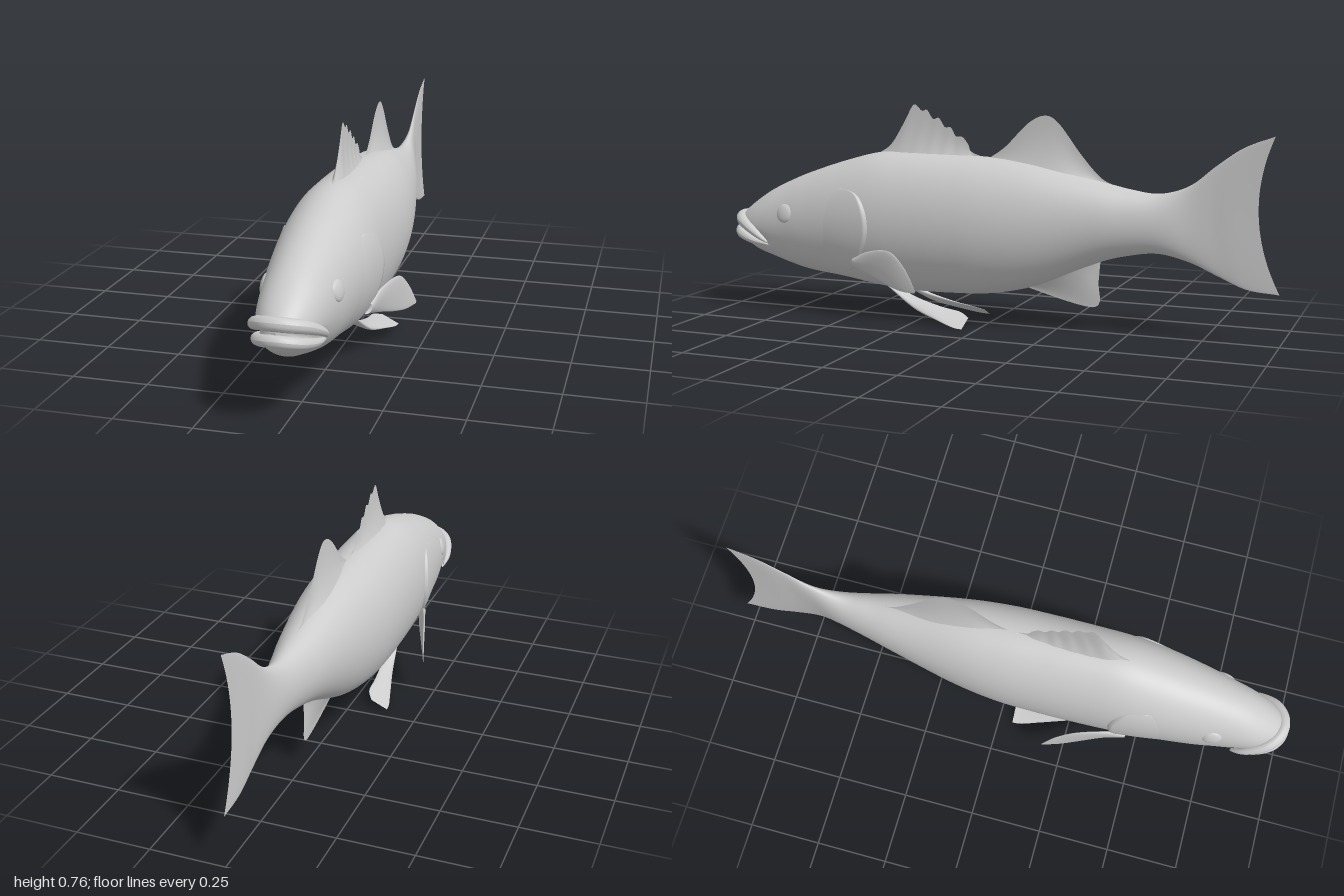
import * as THREE from 'three';

const grey = new THREE.MeshStandardMaterial({ color: 0xcccccc, roughness: 0.7, side: THREE.DoubleSide });

// Smooth surface from a function of (u, v); wrap joins the v ends without a seam
function surface(nu, nv, fn, wrap = false) {
  const pos = [], idx = [], cols = wrap ? nv : nv + 1;
  for (let i = 0; i <= nu; i++)
    for (let j = 0; j < cols; j++) pos.push(...fn(i / nu, j / nv));
  for (let i = 0; i < nu; i++)
    for (let j = 0; j < nv; j++) {
      const k = (j + 1) % cols;
      const a = i * cols + j, b = a + cols, c = (i + 1) * cols + k, d = i * cols + k;
      idx.push(a, b, c, a, c, d);
    }
  const g = new THREE.BufferGeometry();
  g.setAttribute('position', new THREE.Float32BufferAttribute(pos, 3));
  g.setIndex(idx);
  g.computeVertexNormals();
  return g;
}

const spline = (pts) => new THREE.CatmullRomCurve3(pts.map((p) => new THREE.Vector3(p[0], p[1], p[2] ?? 0)), false, 'catmullrom', 0.5);

// Body stations from snout to tail: z, top, bottom, half width
const stations = [
  [0.982, 0.312, 0.29, 0], [0.97, 0.342, 0.258, 0.042], [0.945, 0.368, 0.236, 0.066], [0.9, 0.402, 0.21, 0.088],
  [0.84, 0.44, 0.19, 0.103], [0.76, 0.478, 0.166, 0.117], [0.68, 0.51, 0.148, 0.131], [0.55, 0.553, 0.133, 0.148],
  [0.41, 0.588, 0.112, 0.157], [0.28, 0.592, 0.101, 0.16], [0.12, 0.588, 0.102, 0.161], [-0.02, 0.582, 0.112, 0.157],
  [-0.18, 0.565, 0.15, 0.138], [-0.39, 0.518, 0.24, 0.098], [-0.5, 0.494, 0.272, 0.072], [-0.6, 0.484, 0.284, 0.048],
  [-0.7, 0.514, 0.262, 0.022], [-0.79, 0.582, 0.222, 0.01], [-0.88, 0.642, 0.184, 0.006], [-0.982, 0.682, 0.174, 0],
];
const outline = spline(stations.map((s) => [s[0], s[1], s[2]]));
const girth = spline(stations.map((s) => [s[0], s[3]]));

function sectionAt(t) {
  const o = outline.getPoint(t);
  return { z: o.x, mid: (o.y + o.z) / 2, h: (o.y - o.z) / 2, w: Math.max(0, girth.getPoint(t).y) };
}

// Point on the body's left flank at (z, y), pushed outward by off
function flank(z, y, off) {
  let lo = 0, hi = 1;
  for (let i = 0; i < 30; i++) {
    const m = (lo + hi) / 2;
    if (outline.getPoint(m).x > z) lo = m; else hi = m;
  }
  const s = sectionAt(lo);
  const k = THREE.MathUtils.clamp((y - s.mid) / s.h, -0.99, 0.99);
  const x = s.w * Math.sqrt(1 - k * k);
  const n = new THREE.Vector2(x / s.w ** 2, k / s.h).normalize();
  return [x + n.x * off, s.mid + k * s.h + n.y * off, z];
}

// Body running smoothly into the forked tail
function bodyGeometry() {
  return surface(190, 72, (u, v) => {
    const s = sectionAt(u), a = v * Math.PI * 2;
    const sy = Math.sin(a), y = s.mid + s.h * sy;
    const tail = THREE.MathUtils.smoothstep(-s.z, 0.62, 0.982);
    let x = s.w * Math.cos(a);
    // mouth groove
    if (s.z > 0.8) {
      const d = (y - (0.252 + (s.z - 0.82) * 0.36)) / 0.012;
      x *= 1 - 0.15 * Math.exp(-d * d) * THREE.MathUtils.smoothstep(s.z, 0.8, 0.86);
    }
    return [x, y, s.z + tail * (0.06 * (1 - sy * sy) + 0.0135 * sy)];
  }, true);
}

// Median fin: columns from a base line inside the body to an edge curve, flared at the root
function medianFin(base, edge, thick) {
  const e = spline(edge), n = (edge.length - 1) * 6, rows = 12;
  const side = (sgn) => surface(n, rows, (u, v) => {
    const p = e.getPoint(u);
    const z = THREE.MathUtils.lerp(THREE.MathUtils.lerp(base[0][0], base[1][0], u), p.x, v);
    const y = THREE.MathUtils.lerp(THREE.MathUtils.lerp(base[0][1], base[1][1], u), p.y, v);
    const t = (thick * (1 - v) ** 2.5 + 0.004 * (1 - v)) * Math.sqrt(Math.sin(Math.PI * u) + 1e-6);
    return [sgn * t, y, z];
  });
  return [side(1), side(-1)];
}

// Paired fin: thin closed blade lofted between two long edges
function pairedFin(edgeA, edgeB, thick) {
  const a = spline(edgeA), b = spline(edgeB);
  return surface(28, 24, (u, v) => {
    const w = v * Math.PI * 2, k = (1 - Math.cos(w)) / 2;
    const p = a.getPoint(u).lerp(b.getPoint(u), k);
    const t = Math.sin(w) * thick * (1 - u);
    return [p.x + t, p.y + t * 0.6, p.z];
  }, true);
}

// Lip: tube bent round the snout, thinner toward the mouth corners
function lipGeometry(half, radius) {
  const pts = [...half, ...half.slice(0, -1).reverse().map(([x, y, z]) => [-x, y, z])];
  const c = spline(pts), seg = 64, rad = 14;
  const g = new THREE.TubeGeometry(c, seg, radius, rad), p = g.attributes.position;
  const v = new THREE.Vector3();
  for (let i = 0; i < p.count; i++) {
    const t = Math.floor(i / (rad + 1)) / seg;
    v.fromBufferAttribute(p, i).lerp(c.getPointAt(t), 1 - Math.sin(Math.PI * t) ** 0.55);
    p.setXYZ(i, v.x, v.y, v.z);
  }
  g.computeVertexNormals();
  return g;
}

// Gill cover: raised plate with a sharp rear edge that fades into the cheek
function gillGeometry() {
  const rear = spline([[0.51, 0.468], [0.44, 0.452], [0.4, 0.4], [0.388, 0.33], [0.41, 0.26], [0.46, 0.19], [0.56, 0.148]]);
  const front = spline([[0.55, 0.466], [0.6, 0.43], [0.63, 0.37], [0.64, 0.31], [0.645, 0.25], [0.65, 0.2], [0.66, 0.165]]);
  return surface(24, 48, (u, v) => {
    const p = rear.getPoint(v).lerp(front.getPoint(v), u);
    const rise = 0.011 * Math.pow(Math.sin(Math.PI * v), 0.5);
    const off = u === 0 ? -0.006 : rise * (1 - u) - 0.004 * u * u - 0.001;
    return flank(p.x, p.y, off);
  });
}

export function createModel() {
  const fish = new THREE.Group();
  fish.name = 'fish';
  const add = (name, geometry, parent = fish) => {
    const m = new THREE.Mesh(geometry, grey);
    m.name = name;
    parent.add(m);
    return m;
  };

  add('bodyAndTail', bodyGeometry());
  add('upperLip', lipGeometry([[0.104, 0.252, 0.82], [0.103, 0.285, 0.87], [0.078, 0.317, 0.93], [0.04, 0.331, 0.963], [0, 0.335, 0.973]], 0.022));
  add('lowerLip', lipGeometry([[0.098, 0.245, 0.82], [0.09, 0.258, 0.89], [0.066, 0.273, 0.945], [0.034, 0.283, 0.973], [0, 0.287, 0.981]], 0.019));

  // Fins along the midline, as z, y
  const fins = {
    spinyDorsalFin: medianFin([[0.43, 0.565], [0.02, 0.56]], [
      [0.42, 0.583], [0.37, 0.618], [0.32, 0.695], [0.283, 0.757], [0.252, 0.737], [0.232, 0.74], [0.21, 0.71],
      [0.187, 0.713], [0.165, 0.682], [0.143, 0.682], [0.124, 0.652], [0.1, 0.65], [0.078, 0.625], [0.066, 0.6], [0.02, 0.582]], 0.028),
    softDorsalFin: medianFin([[0.02, 0.555], [-0.46, 0.48]], [
      [0, 0.58], [-0.06, 0.622], [-0.14, 0.702], [-0.2, 0.73], [-0.25, 0.705], [-0.33, 0.602], [-0.4, 0.527], [-0.46, 0.5]], 0.036),
    analFin: medianFin([[-0.12, 0.16], [-0.4, 0.27]], [
      [-0.14, 0.14], [-0.25, 0.11], [-0.33, 0.092], [-0.38, 0.088], [-0.4, 0.11], [-0.395, 0.17], [-0.4, 0.24]], 0.025),
  };
  for (const [name, halves] of Object.entries(fins)) {
    const g = new THREE.Group();
    g.name = name;
    halves.forEach((h, i) => add(name + (i ? 'RightFace' : 'LeftFace'), h, g));
    fish.add(g);
  }

  // Paired parts, mirrored across x
  const pectoral = pairedFin(
    [[0.13, 0.222, 0.46], [0.155, 0.255, 0.39], [0.188, 0.266, 0.294], [0.207, 0.215, 0.228], [0.224, 0.142, 0.18]],
    [[0.13, 0.19, 0.46], [0.148, 0.172, 0.39], [0.178, 0.148, 0.31], [0.203, 0.135, 0.245], [0.223, 0.135, 0.185]], 0.014);
  const pelvic = pairedFin(
    [[0.03, 0.13, 0.37], [0.044, 0.085, 0.26], [0.05, 0.058, 0.16], [0.052, 0.046, 0.09], [0.075, 0.032, 0.048]],
    [[0.066, 0.12, 0.36], [0.085, 0.052, 0.25], [0.112, 0.022, 0.15], [0.13, 0.006, 0.085], [0.134, 0.003, 0.05]], 0.013);
  const gill = gillGeometry();
  for (const [side, s] of [['left', 1], ['right', -1]]) {
    const half = new THREE.Group();
    half.name = side + 'Side';
    add(side + 'PectoralFin', pectoral, half);
    add(side + 'PelvicFin', pelvic, half);
    add(side + 'GillCover', gill, half);
    const eye = add(side + 'Eye', new THREE.SphereGeometry(0.034, 28, 20), half);
    eye.position.set(...flank(0.743, 0.366, -0.004));
    eye.rotation.set(0, -0.18, 0.22);
    eye.scale.x = 0.36;
    half.scale.x = s;
    fish.add(half);
  }
  return fish;
}
